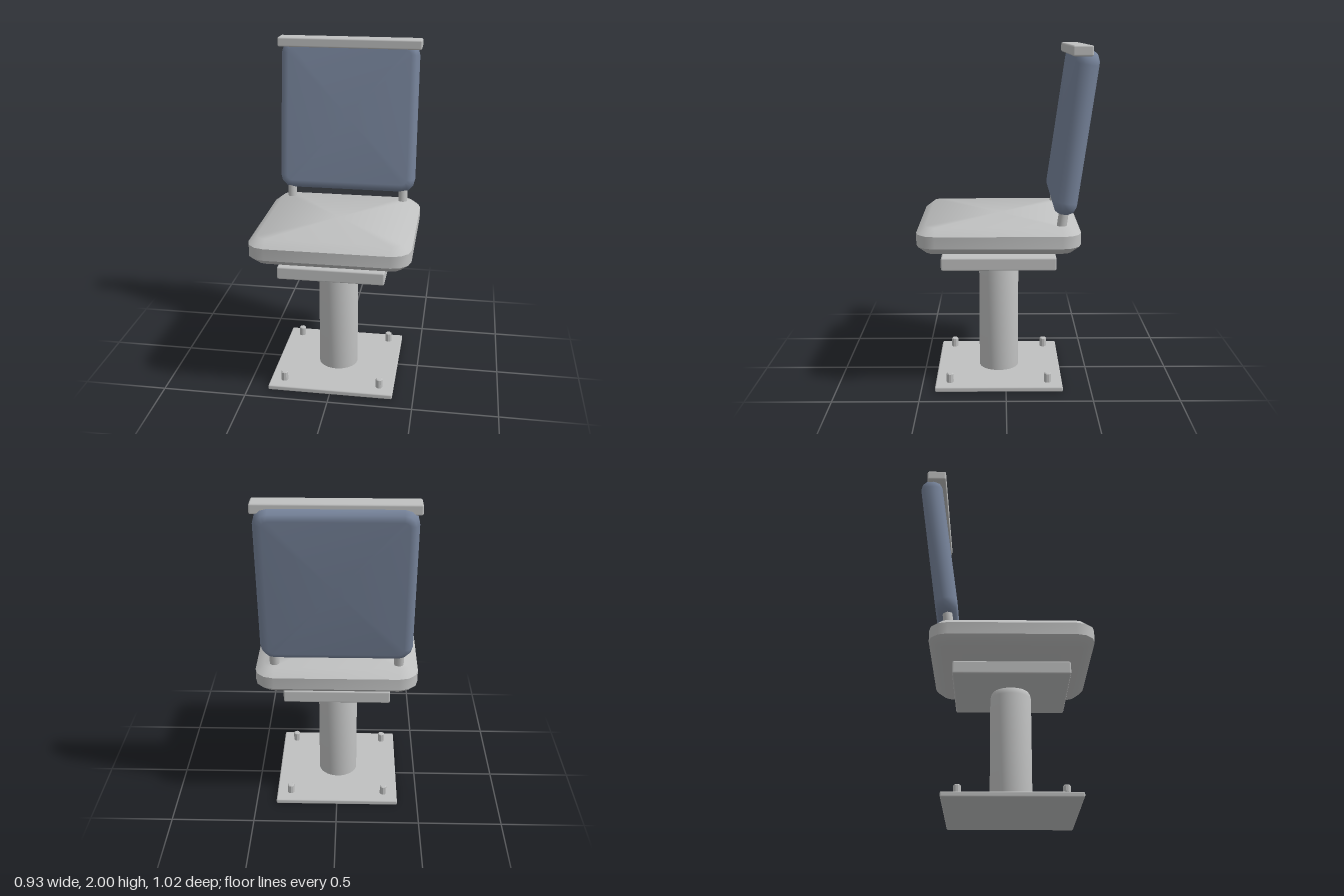
import * as THREE from 'three';
import { toCreasedNormals } from 'three/addons/utils/BufferGeometryUtils.js';
import { RoundedBoxGeometry } from 'three/addons/geometries/RoundedBoxGeometry.js';

const CZ = 0.042; // pedestal and seat centre line

// Rounded rectangle ring in XZ, shrunk evenly by inset
function ring(hx, hz, r, inset, steps = 3) {
  const pts = [];
  for (let c = 0; c < 4; c++) {
    const sx = c === 0 || c === 3 ? 1 : -1, sz = c < 2 ? 1 : -1;
    for (let i = 0; i <= steps; i++) {
      const a = (c + i / steps) * Math.PI / 2;
      pts.push([sx * (hx - r) + Math.cos(a) * (r - inset), sz * (hz - r) + Math.sin(a) * (r - inset)]);
    }
  }
  return pts;
}

// Pad lofted through [height, inset] layers, with a fan closing each end
function pad(hx, hz, r, layers) {
  const pos = [], idx = [];
  layers.forEach(([y, inset]) => ring(hx, hz, r, inset).forEach(([x, z]) => pos.push(x, y, z)));
  const n = pos.length / 3 / layers.length, last = layers.length - 1;
  const bottom = pos.length / 3, top = bottom + 1;
  pos.push(0, layers[0][0], 0, 0, layers[last][0], 0);
  for (let i = 0; i < n; i++) {
    const j = (i + 1) % n;
    for (let l = 0; l < last; l++) {
      const a = l * n + i, b = l * n + j;
      idx.push(a, a + n, b, b, a + n, b + n);
    }
    idx.push(bottom, i, j, top, last * n + j, last * n + i);
  }
  const g = new THREE.BufferGeometry();
  g.setAttribute('position', new THREE.Float32BufferAttribute(pos, 3));
  g.setIndex(idx);
  g.computeVertexNormals();
  return g;
}

export function createModel() {
  const model = new THREE.Group();
  const metal = new THREE.MeshStandardMaterial({ name: 'lightGrey', color: 0xbfc0c0 });
  const fabric = new THREE.MeshStandardMaterial({ name: 'slateBlue', color: 0x76839a });

  const add = (name, geometry, material, x, y, z, parent = model) => {
    const mesh = new THREE.Mesh(geometry, material);
    mesh.name = name;
    mesh.position.set(x, y, z);
    parent.add(mesh);
    return mesh;
  };

  // Floor plate with four bolts
  add('basePlate', new RoundedBoxGeometry(0.752, 0.03, 0.752, 1, 0.008), metal, 0, 0.015, CZ);
  const bolt = toCreasedNormals(new THREE.LatheGeometry(
    [[0, 0], [0.021, 0], [0.021, 0.055], [0.016, 0.06], [0, 0.06]].map(p => new THREE.Vector2(...p)), 10), 0.6);
  for (const sx of [-1, 1]) for (const sz of [-1, 1])
    add('bolt', bolt, metal, sx * 0.29, 0.027, CZ + sz * 0.29);

  // Column with a softened top rim
  const column = [[0, 0], [0.12, 0], [0.12, 0.655], [0.115, 0.68], [0.105, 0.695], [0, 0.695]];
  add('column', toCreasedNormals(new THREE.LatheGeometry(column.map(p => new THREE.Vector2(...p)), 32), 0.7),
    metal, 0, 0.028, CZ);

  // Mounting plate and seat
  add('mountingPlate', new RoundedBoxGeometry(0.626, 0.077, 0.668, 1, 0.01), metal, 0, 0.759, CZ);
  const seat = pad(0.466, 0.466, 0.11, [[-0.075, 0.052], [-0.035, 0], [0.035, 0], [0.075, 0.052]]);
  add('seat', toCreasedNormals(seat, 0.8), metal, 0, 0.926, CZ);

  // Reclined backrest: cushion and two posts
  const backrest = new THREE.Group();
  backrest.name = 'backrest';
  backrest.position.set(0, 1.518, -0.386);
  backrest.rotation.x = -0.138;
  model.add(backrest);
  const cushion = pad(0.428, 0.463, 0.08,
    [[-0.065, 0.05], [-0.05, 0.018], [-0.018, 0], [0.018, 0], [0.05, 0.018], [0.065, 0.05]]);
  add('backCushion', cushion, fabric, 0, 0, 0, backrest).rotation.x = Math.PI / 2;
  for (const sx of [-1, 1])
    add('backPost', new THREE.CylinderGeometry(0.028, 0.028, 0.95, 12), metal, sx * 0.355, -0.07, 0, backrest);

  // Top rail
  add('topRail', new RoundedBoxGeometry(0.886, 0.058, 0.112, 1, 0.01), metal, 0, 1.971, -0.41);
  return model;
}
